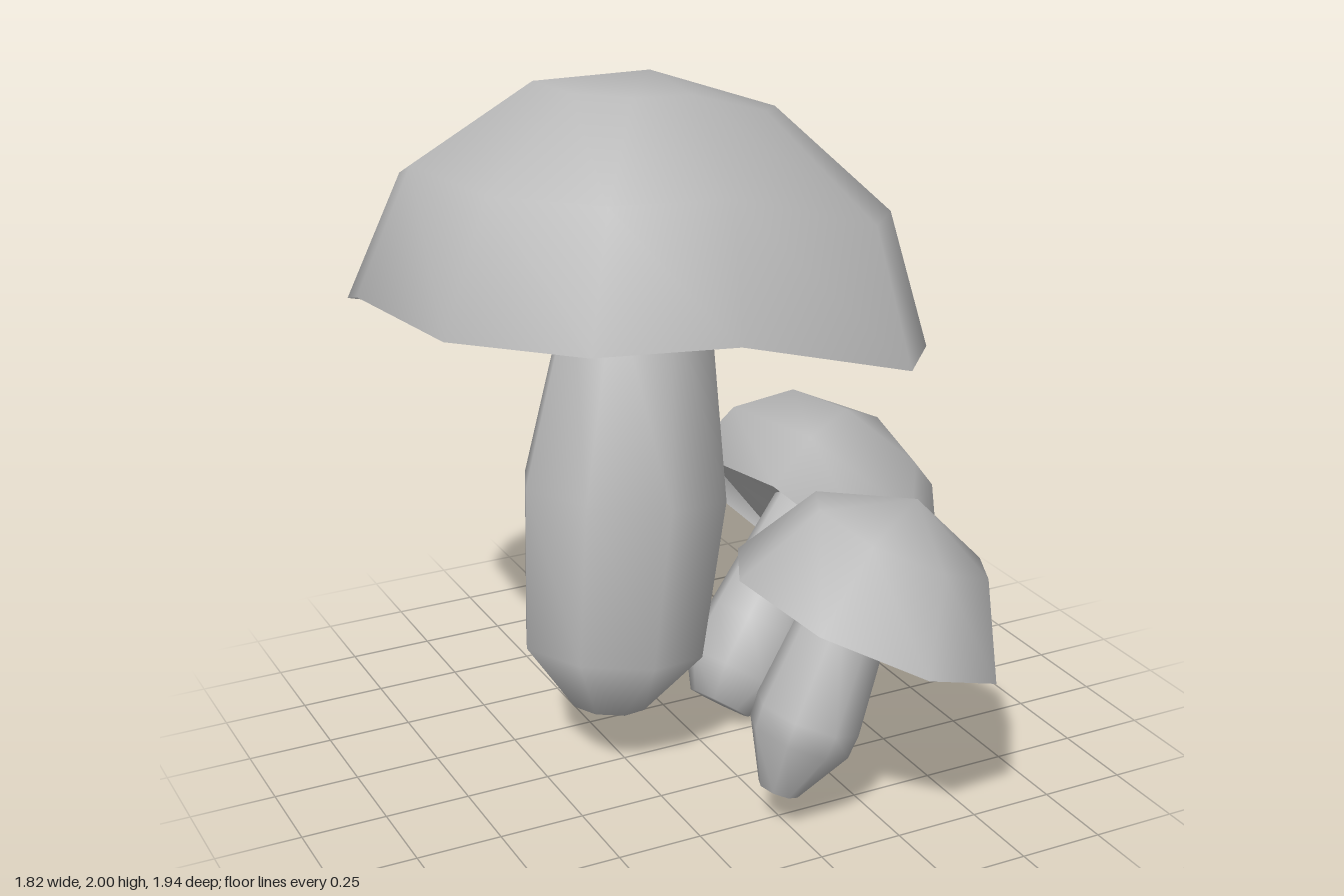
import * as THREE from 'three';

const UP = new THREE.Vector3(0, 1, 0);
const EVEN = [0, 45, 90, 135, 180, 225, 270, 315];

// Skin rings of [radius, height], listed top to bottom; radius 0 closes to a point.
// stretch scales the radius and lift raises the height at each angle.
function loft(rings, { angles = EVEN, stretch = [], lift = [] } = {}) {
  const pos = [], index = [], starts = [], n = angles.length;
  for (const [r, h] of rings) {
    starts.push(pos.length / 3);
    if (r === 0) { pos.push(0, h, 0); continue; }
    angles.forEach((deg, i) => {
      const a = THREE.MathUtils.degToRad(deg), k = r * (stretch[i] ?? 1);
      pos.push(k * Math.cos(a), h + r * (lift[i] ?? 0), k * Math.sin(a));
    });
  }
  const at = (j, i) => starts[j] + (rings[j][0] === 0 ? 0 : i % n);
  for (let j = 0; j < rings.length - 1; j++) {
    for (let i = 0; i < n; i++) {
      const a = at(j, i), d = at(j, i + 1), b = at(j + 1, i), e = at(j + 1, i + 1);
      if (a !== d) index.push(a, d, b);
      if (b !== e) index.push(d, e, b);
    }
  }
  const g = new THREE.BufferGeometry();
  g.setAttribute('position', new THREE.Float32BufferAttribute(pos, 3));
  g.setIndex(index);
  g.computeVertexNormals();
  return g;
}

const mushrooms = [
  {
    name: 'largeMushroom',
    cap: {
      center: [-0.13, 1.3, -0.17], axis: [0.177, 1, -0.18],
      rings: [[0, 0.72], [0.35, 0.645], [0.69, 0.375], [0.82, 0], [0.72, 0.13], [0, 0.13]],
      outline: {
        angles: [6, 30, 53, 95, 123, 152, 186, 216, 233, 275, 303, 324],
        stretch: [0.98, 1.03, 1.05, 0.97, 0.99, 1, 0.98, 1.03, 1.05, 0.97, 1.01, 1.03],
        lift: [0.02, 0, -0.05, 0.03, -0.03, -0.03, 0.05, 0, -0.03, 0.03, -0.01, -0.05],
      },
    },
    stem: {
      base: [-0.3, 0.18, 0], top: [-0.12, 1.43, -0.14],
      rings: [[0.21, 1], [0.31, 0.53], [0.275, 0.16], [0.11, 0.01]],
    },
  },
  {
    name: 'frontMushroom',
    cap: {
      center: [0.22, 0.62, 0.58], axis: [0.4, 0.91, 0.06],
      rings: [[0, 0.36], [0.27, 0.25], [0.41, 0], [0.36, 0.065], [0, 0.065]],
      outline: { angles: EVEN.map((a) => a + 6) },
    },
    stem: {
      base: [-0.03, 0.12, 0.55], top: [0.2, 0.66, 0.55],
      rings: [[0.12, 1], [0.155, 0.4], [0.15, 0.28], [0.06, 0]],
    },
  },
  {
    name: 'sideMushroom',
    cap: {
      center: [0.46, 0.5, -0.22], axis: [0.7, 0.7, -0.15],
      rings: [[0, 0.45], [0.29, 0.35], [0.42, 0.19], [0.45, 0], [0.39, 0.07], [0, 0.07]],
      outline: {
        angles: [-51, -25, 20, 52, 85, 140, 190, 239],
        stretch: [1.08, 1.1, 1, 0.93, 0.95, 1.13, 1, 1.05],
      },
    },
    stem: {
      base: [0.11, 0.06, -0.08], top: [0.51, 0.58, -0.22],
      rings: [[0.13, 1], [0.165, 0.4], [0.17, 0.16], [0.1, 0]],
    },
  },
];

export function createModel() {
  const model = new THREE.Group();
  model.name = 'mushroomCluster';
  const grey = new THREE.MeshStandardMaterial({ color: 0xb8b8b8 });
  grey.name = 'plainGrey';

  for (const { name, cap, stem } of mushrooms) {
    const group = new THREE.Group();
    group.name = name;

    // Domed cap with a hollow underside, tilted along its axis
    const capMesh = new THREE.Mesh(loft(cap.rings, cap.outline), grey);
    capMesh.name = 'cap';
    capMesh.position.set(...cap.center);
    capMesh.quaternion.setFromUnitVectors(UP, new THREE.Vector3(...cap.axis).normalize());

    // Swollen stem, closed at both ends; ring heights are fractions of its length
    const base = new THREE.Vector3(...stem.base);
    const dir = new THREE.Vector3(...stem.top).sub(base);
    const length = dir.length();
    const rings = [[0, 1], ...stem.rings, [0, 0]].map(([r, t]) => [r, t * length]);
    const stemMesh = new THREE.Mesh(loft(rings), grey);
    stemMesh.name = 'stem';
    stemMesh.position.copy(base);
    stemMesh.quaternion.setFromUnitVectors(UP, dir.normalize());

    group.add(capMesh, stemMesh);
    model.add(group);
  }
  return model;
}
